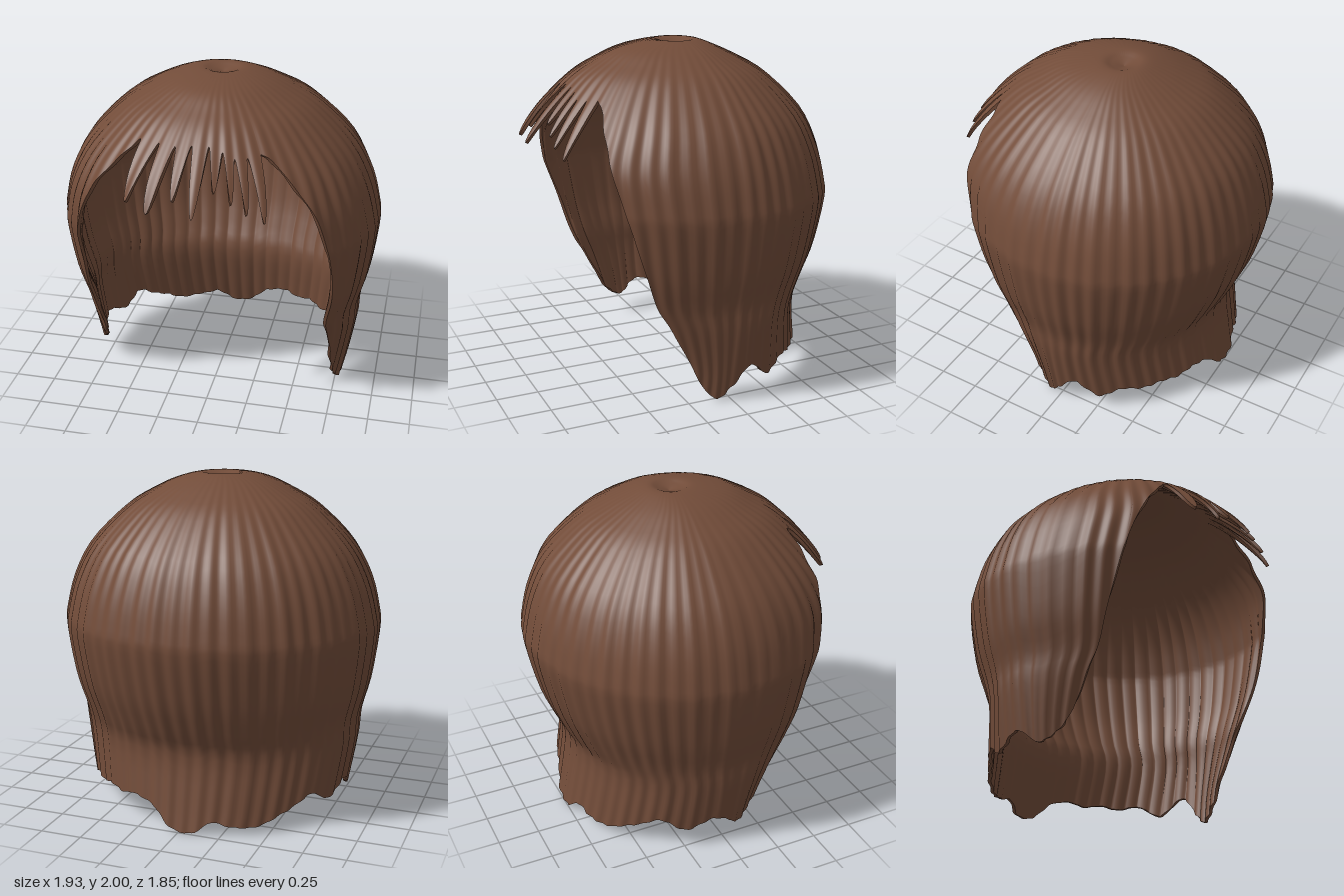
import * as THREE from 'three';

// Cross-sections from crown to hem: [height, half width, depth to front, depth to back]
const SECTIONS = [
  [1.965, 0, 0, 0], [1.985, 0.07, 0.07, 0.06], [2.0, 0.14, 0.15, 0.12], [1.965, 0.28, 0.35, 0.22],
  [1.9, 0.42, 0.49, 0.36], [1.8, 0.58, 0.65, 0.53], [1.6, 0.78, 0.85, 0.73], [1.4, 0.89, 0.97, 0.83],
  [1.2, 0.945, 0.96, 0.88], [1.08, 0.955, 0.93, 0.885], [0.8, 0.92, 0.85, 0.82], [0.6, 0.87, 0.76, 0.74],
  [0.45, 0.86, 0.63, 0.68], [0.2, 0.82, 0.47, 0.715], [0, 0.78, 0.44, 0.755],
];

// Lower edge of the hair: [angle from the front towards +x in degrees, height]
const SIDE_AND_BACK = [
  [31, 1.73], [35, 1.7], [40, 1.6], [47, 1.4], [50.5, 1.1], [54, 0.8], [56, 0.55], [59, 0.35], [66, 0.13], [79, 0.01],
  [90, 0.08], [98, 0.2], [104, 0.17], [111, 0.1], [123, 0.17], [133, 0.15], [142, 0.17], [150, 0.15],
  [158, 0.17], [168, 0.13], [174, 0.05], [180, 0.01], [187, 0.015], [194, 0.08], [201, 0.06], [213, 0.05],
  [222, 0.1], [229, 0.14], [238, 0.2], [250, 0.13], [264, 0.2], [280, 0.11], [296, 0.2],
  [301.5, 0.35], [303.5, 0.55], [306, 0.8], [309.5, 1.1], [313, 1.4], [320, 1.6], [325, 1.7],
];
// Fringe: notches and lock tips in turn
const FRINGE = [
  [329, 1.74], [334.5, 1.48], [339.5, 1.76], [344.5, 1.45], [349, 1.76], [353.5, 1.53], [357.5, 1.77],
  [362, 1.46], [366, 1.77], [369.5, 1.58], [373, 1.75], [376, 1.53], [378.5, 1.72], [381.5, 1.48],
  [384.5, 1.72], [387.5, 1.43], [391, 1.73],
];

const ROWS = 44;
const STEPS = 9;
const THICKNESS = 0.035;

// Smooth interpolation through a small table
function spline(rows) {
  const interpolant = new THREE.CubicInterpolant(rows.map((_, i) => i), rows.flat(), rows[0].length);
  return (s) => Array.from(interpolant.evaluate(s));
}

// Position along the sections where the hair reaches a given height
function sectionAt(section, y) {
  let low = 2, high = SECTIONS.length - 1;
  for (let i = 0; i < 30; i++) {
    const mid = (low + high) / 2;
    if (section(mid)[0] > y) low = mid;
    else high = mid;
  }
  return low;
}

// Grid of points, one column per strand from crown to edge
function hairPoints() {
  const section = spline(SECTIONS);
  const edgeTable = [...SIDE_AND_BACK, ...FRINGE];
  const edge = spline(edgeTable);
  const columns = (edgeTable.length - 1) * STEPS;
  const points = [];
  for (let i = 0; i < columns; i++) {
    const [degrees, edgeY] = edge(i / STEPS);
    const angle = THREE.MathUtils.degToRad(degrees);
    const end = sectionAt(section, Math.max(edgeY, 0.005));
    for (let j = 0; j <= ROWS; j++) {
      const s = (end * j) / ROWS;
      const [y, width, front, back] = section(s);
      // Combed grooves, fading out at the crown
      const groove = 1 + 0.007 * Math.min(1, s / 6) * (Math.sin(angle * 56) + 0.5 * Math.sin(angle * 23 + 1));
      const c = Math.cos(angle);
      points.push(new THREE.Vector3(
        Math.sin(angle) * width * groove, y, c * (c > 0 ? front : back) * groove));
    }
  }
  return { points, columns };
}

// Surface from a grid of columns that closes on itself
function gridSurface(points, columns, rows, flip) {
  const index = [];
  for (let i = 0; i < columns; i++) {
    for (let j = 0; j < rows; j++) {
      const a = i * (rows + 1) + j;
      const c = ((i + 1) % columns) * (rows + 1) + j;
      if (flip) index.push(a, c, a + 1, c, c + 1, a + 1);
      else index.push(a, a + 1, c, c, a + 1, c + 1);
    }
  }
  const geometry = new THREE.BufferGeometry().setFromPoints(points);
  geometry.setIndex(index);
  geometry.computeVertexNormals();
  return geometry;
}

export function createModel() {
  const group = new THREE.Group();
  group.name = 'hair';
  const brown = new THREE.MeshStandardMaterial({ color: 0x724c39, side: THREE.DoubleSide });
  brown.name = 'brown hair';
  const add = (name, geometry) => {
    const mesh = new THREE.Mesh(geometry, brown);
    mesh.name = name;
    group.add(mesh);
  };

  // Outer hair with fringe, side locks and nape
  const { points, columns } = hairPoints();
  const outer = gridSurface(points, columns, ROWS, false);
  add('outerHair', outer);

  // Inner lining, thinner towards the edge
  const normals = outer.attributes.normal;
  const inner = points.map((p, k) => {
    const j = k % (ROWS + 1);
    if (j === 0) return new THREE.Vector3(0, p.y - THICKNESS, 0);
    const depth = THICKNESS * (j > ROWS - 6 ? 0.55 + 0.075 * (ROWS - j) : 1);
    const n = new THREE.Vector3().fromBufferAttribute(normals, k);
    return p.clone().addScaledVector(n, -depth);
  });
  add('innerHair', gridSurface(inner, columns, ROWS, true));

  // Rim joining both layers
  const rim = [];
  for (let i = 0; i < columns; i++) {
    const k = i * (ROWS + 1) + ROWS;
    rim.push(points[k], inner[k]);
  }
  add('hairRim', gridSurface(rim, columns, 1, false));

  return group;
}
